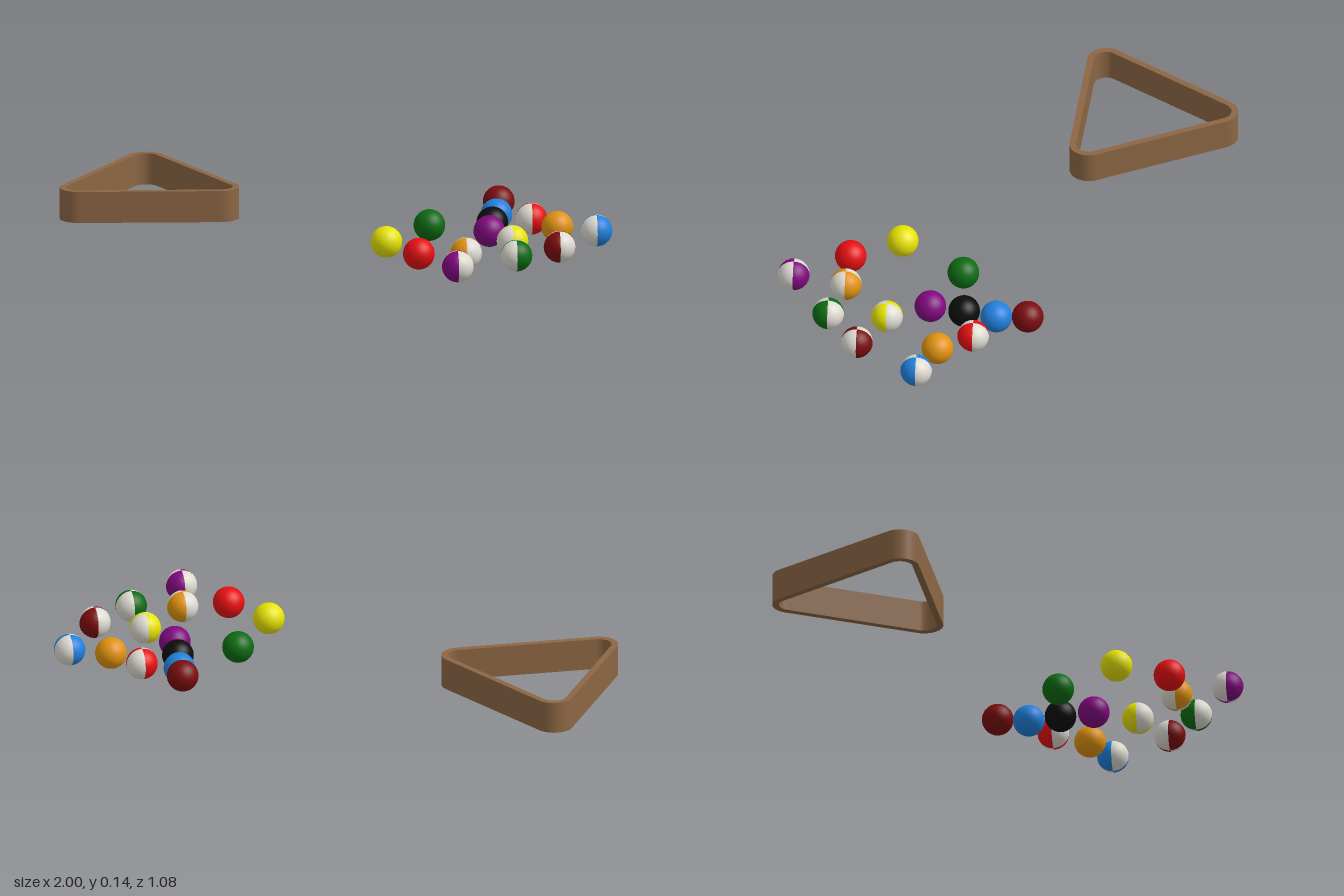
import * as THREE from 'three';

const RADIUS = 0.058;
const REST_Y = 0.06;

const hexes = {
  red: 0xe60f12, maroon: 0x7a0c0e, yellow: 0xe6e205, green: 0x0c6b12, blue: 0x2080dc,
  orange: 0xe0920f, purple: 0x80087f, black: 0x0c0c0c, ivory: 0xdcdad0, wood: 0x8c6644,
};

// One-colour balls: colour, x, z, optional height
const solids = [
  ['maroon', 0.38, -0.485, 0.079], ['blue', 0.45, -0.39], ['black', 0.517, -0.288],
  ['purple', 0.591, -0.185], ['green', 0.367, -0.11], ['yellow', 0.409, 0.181],
  ['red', 0.612, 0.236], ['orange', 0.738, -0.395],
];

// Quartered balls: colour, x, z, whether the colour faces front and back
const quartered = [
  ['red', 0.59, -0.423, false], ['blue', 0.884, -0.445, false], ['yellow', 0.751, -0.128, false],
  ['maroon', 0.937, -0.175, true], ['green', 0.902, 0.026, false],
  ['orange', 0.738, 0.118, true], ['purple', 0.843, 0.287, true],
];

// Rounded triangle made of three corner arcs joined by straight sides
function trianglePath(path, cornerRadius) {
  for (let i = 0; i < 3; i++) {
    const a = i * Math.PI * 2 / 3;
    path.absarc(0.298 * Math.cos(a), 0.298 * Math.sin(a), cornerRadius,
      a - Math.PI / 3, a + Math.PI / 3, false);
  }
  path.closePath();
  return path;
}

export function createModel() {
  const model = new THREE.Group();
  model.name = 'billiardSet';

  const mats = {};
  for (const [name, color] of Object.entries(hexes)) {
    mats[name] = new THREE.MeshStandardMaterial({ color });
    mats[name].name = name;
  }

  // Wooden rack
  const outline = trianglePath(new THREE.Shape(), 0.07);
  outline.holes.push(trianglePath(new THREE.Path(), 0.046));
  const rackGeometry = new THREE.ExtrudeGeometry(outline, {
    depth: 0.117, bevelEnabled: false, curveSegments: 12,
  });
  rackGeometry.rotateX(-Math.PI / 2);
  const rack = new THREE.Mesh(rackGeometry, mats.wood);
  rack.name = 'rack';
  rack.rotation.y = THREE.MathUtils.degToRad(12);
  rack.position.set(-0.731, 0, 0.186);
  model.add(rack);

  // Solid balls
  const ballGeometry = new THREE.SphereGeometry(RADIUS, 32, 20);
  for (const [color, x, z, y = REST_Y] of solids) {
    const ball = new THREE.Mesh(ballGeometry, mats[color]);
    ball.name = color + 'Ball';
    ball.position.set(x, y, z);
    model.add(ball);
  }

  // Quartered balls: four upright wedges, alternating colour and ivory
  const wedgeGeometry = new THREE.SphereGeometry(RADIUS, 8, 20, Math.PI / 4, Math.PI / 2);
  for (const [color, x, z, colorInFront] of quartered) {
    const ball = new THREE.Group();
    ball.name = color + 'QuarteredBall';
    for (let i = 0; i < 4; i++) {
      const colored = (i % 2 === 0) === colorInFront;
      const wedge = new THREE.Mesh(wedgeGeometry, mats[colored ? color : 'ivory']);
      wedge.name = colored ? 'colouredWedge' : 'ivoryWedge';
      wedge.rotation.y = i * Math.PI / 2;
      ball.add(wedge);
    }
    ball.position.set(x, REST_Y, z);
    model.add(ball);
  }

  return model;
}
